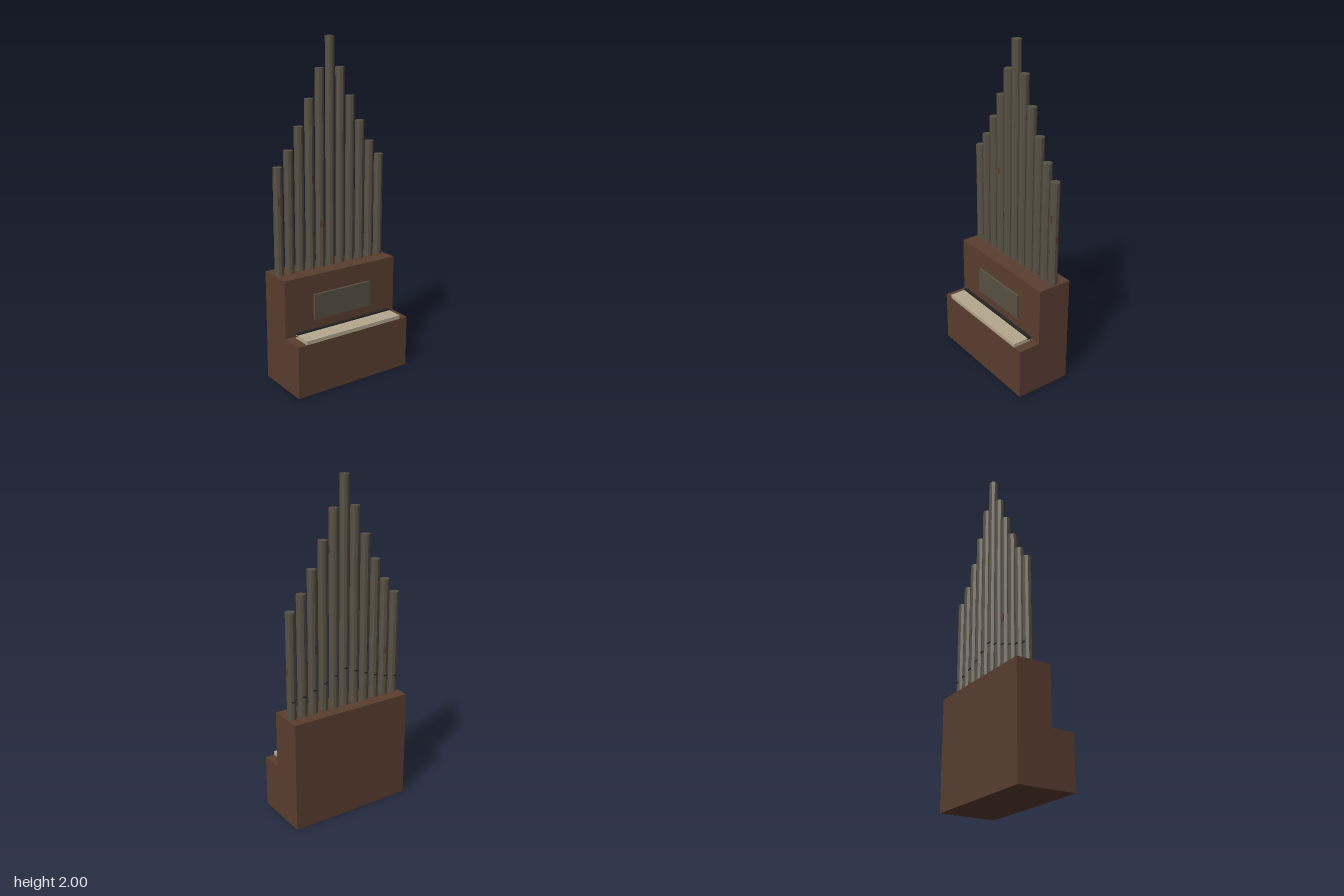
import * as THREE from 'three';

const material = (name, color) => {
  const m = new THREE.MeshStandardMaterial({ color });
  m.name = name;
  return m;
};

export function createModel() {
  const wood = material('darkWood', 0x5a3d30);
  const metal = material('agedMetal', 0x575043);
  const ivory = material('ivory', 0xb5a98e);
  const ebony = material('ebony', 0x242424);
  const rust = material('rust', 0x5c3526);

  const organ = new THREE.Group();
  organ.name = 'pipeOrgan';

  // Box given by its lower and upper corners
  function box(name, mat, [x0, y0, z0], [x1, y1, z1], parent = organ) {
    const mesh = new THREE.Mesh(new THREE.BoxGeometry(x1 - x0, y1 - y0, z1 - z0), mat);
    mesh.position.set((x0 + x1) / 2, (y0 + y1) / 2, (z0 + z1) / 2);
    mesh.name = name;
    parent.add(mesh);
    return mesh;
  }

  // Stepped cabinet, extruded sideways from its side outline
  const outline = new THREE.Shape([
    [-0.175, 0], [0.175, 0], [0.175, 0.317], [0.038, 0.317], [0.038, 0.667], [-0.175, 0.667],
  ].map(([z, y]) => new THREE.Vector2(-z, y)));
  const cabinetGeometry = new THREE.ExtrudeGeometry(outline, { depth: 0.78, bevelEnabled: false });
  cabinetGeometry.translate(0, 0, -0.39).rotateY(Math.PI / 2);
  const cabinet = new THREE.Mesh(cabinetGeometry, wood);
  cabinet.name = 'cabinet';
  organ.add(cabinet);

  // Keyboard and music panel
  box('whiteKeys', ivory, [-0.333, 0.317, 0.06], [0.333, 0.34, 0.176]);
  box('blackKeys', ebony, [-0.333, 0.33, 0.057], [0.333, 0.349, 0.077]);
  box('musicPanel', metal, [-0.197, 0.394, 0.037], [0.197, 0.55, 0.053]);

  // Row of pipes, tallest in the middle, each with a mouth slot at the back
  const tops = [2, 1.825, 1.66, 1.51, 1.383, 1.295];
  const base = 0.66, radius = 0.028, rowZ = -0.08;
  for (let i = -5; i <= 5; i++) {
    const height = tops[Math.abs(i)] - base;
    const pipe = new THREE.Group();
    pipe.name = 'pipe';
    pipe.position.set(i * 0.0705, base, rowZ);
    const geometry = new THREE.CylinderGeometry(radius, radius, height, 10).toNonIndexed();
    geometry.computeVertexNormals();
    geometry.translate(0, height / 2, 0);
    const tube = new THREE.Mesh(geometry, metal);
    tube.name = 'pipeTube';
    pipe.add(tube);
    const mouth = height * 0.18;
    box('pipeMouth', ebony, [-0.012, mouth - 0.004, -0.029], [0.012, mouth + 0.004, -0.025], pipe);
    organ.add(pipe);
  }

  // Thin rust patches: pipe index, height, facet number
  const patches = [[-5, 1.1, 9], [-2, 1.2, 0], [-1, 0.93, 9], [5, 1.08, 0],
    [5, 0.95, 2], [1, 1.6, 2], [3, 1.05, 5], [-2, 1.0, 5], [-4, 0.95, 4]];
  for (const [i, y, facet] of patches) {
    const angle = (facet + 0.5) * Math.PI / 5;
    const r = radius * Math.cos(Math.PI / 10);
    const patch = new THREE.Mesh(new THREE.BoxGeometry(0.012, 0.045, 0.002), rust);
    patch.name = 'rustPatch';
    patch.position.set(i * 0.0705 + r * Math.sin(angle), y, rowZ + r * Math.cos(angle));
    patch.rotation.y = angle;
    organ.add(patch);
  }
  return organ;
}
